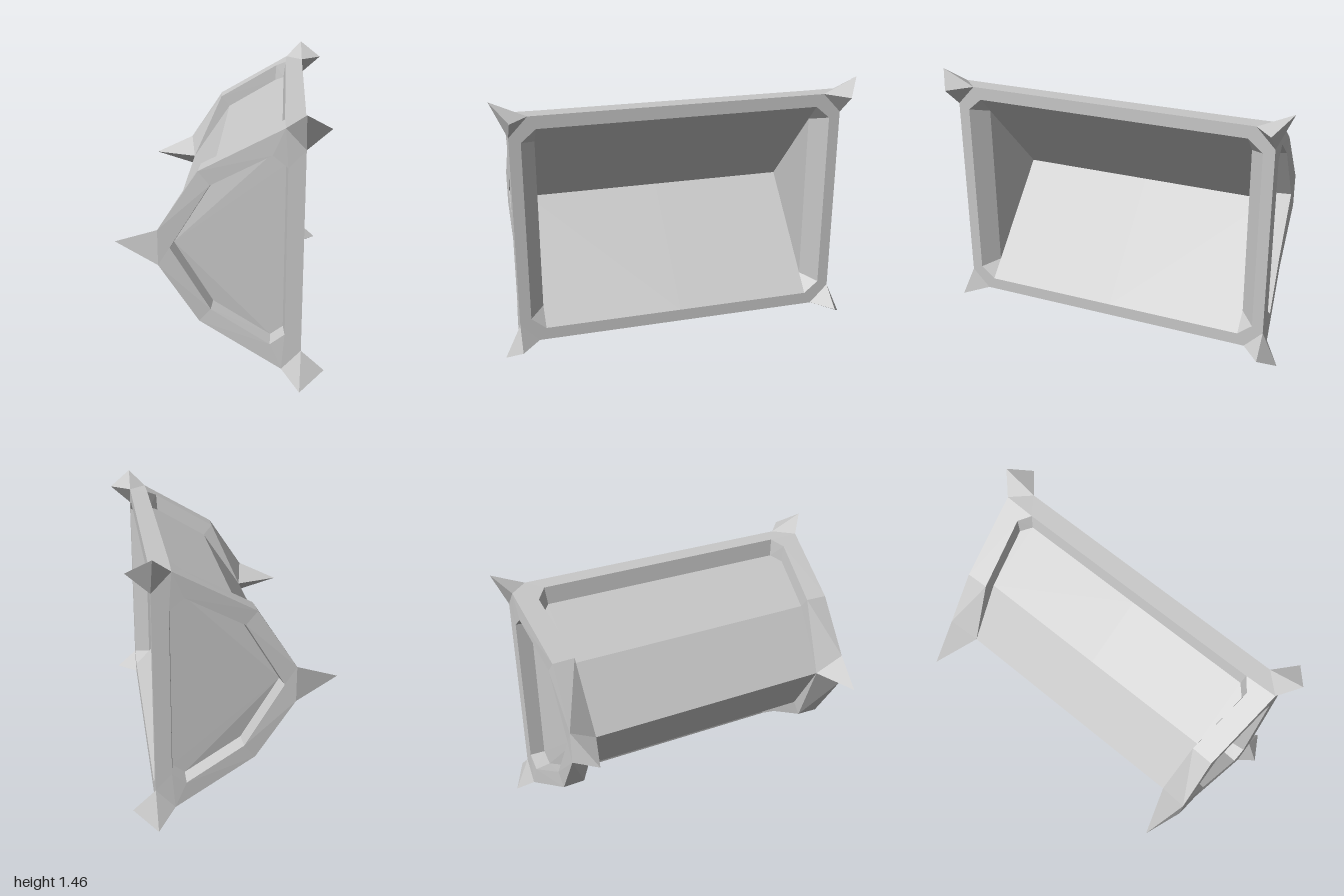
import * as THREE from 'three';

const MID = 0.7275; // height of the horizontal mirror plane

// Corner points of one quarter (upper half, front end): x, height above MID, z
const p = {
  // rear spike and rear edge
  S: [-0.54, 0, 0.8], P: [-0.31, 0.095, 0.87], Pm: [-0.31, 0, 0.87], Q: [-0.28, 0, 0.715],
  // outer frame bend, corner spike base and tips
  T: [-0.105, 0.405, 0.863], A: [0.32, 0.642, 0.915], B: [0.42, 0.535, 0.912],
  C: [0.42, 0.642, 0.81], D: [0.54, 0.642, 0.915], E: [0.415, 0.7275, 1],
  // end recess: upper edge F, floor f
  F0: [-0.25, 0, 0.866], F1: [-0.045, 0.335, 0.868], F2: [0.26, 0.505, 0.908], F3: [0.335, 0.445, 0.912],
  f0: [-0.238, 0, 0.782], f1: [-0.039, 0.324, 0.785], f2: [0.26, 0.492, 0.822], f3: [0.325, 0.44, 0.828],
  // shell recess: upper edge, floor
  T1: [-0.1, 0.405, 0.738], C1: [0.255, 0.605, 0.79], C2: [0.315, 0.639, 0.735],
  t1: [-0.048, 0.3425, 0.735], c1: [0.25, 0.511, 0.778], c2: [0.303, 0.541, 0.725],
  // opening and interior
  R1: [0.42, 0.505, 0.85], R2: [0.42, 0.5725, 0.77], I0: [-0.13, 0, 0.77], I1: [0.33, 0.479, 0.77],
};
// "_" drops a point to the mid height, "|" drops it to the mid length
function point(key) {
  const v = new THREE.Vector3(...p[key[0] === '_' || key[0] === '|' ? key.slice(1) : key]);
  if (key[0] === '_') v.y = 0;
  if (key[0] === '|') v.z = 0;
  return v;
}

// Faces of each part: corner names, then the rough direction the face looks
const parts = {
  rearSpikes: [['S P Pm', 0, 0, 1], ['S P Q', 0, 1, -0.3]],
  cornerSpikes: [
    ['A B E', 0, 0, 1], ['B E D', 0, 0, 1], ['C E D', 0, 1, 0], ['A E C', 0, 1, 0], ['B D C', 1, 0, 0],
  ],
  endFrames: [
    ['Pm P F0', 0, 0, 1], ['P T F1 F0', 0, 0, 1], ['T A F2 F1', 0, 0, 1],
    ['A B F3 F2', 0, 0, 1], ['B _B _F3 F3', 0, 0, 1],
  ],
  endRecessWalls: [
    ['F0 F1 f1 f0', 1, -1, 0], ['F1 F2 f2 f1', 0, -1, 0],
    ['F2 F3 f3 f2', -1, -1, 0], ['F3 _F3 _f3 f3', -1, 0, 0],
  ],
  endPanels: [['f0 f1 f2 f3 _f3', 0, 0, 1]],
  shellFrame: [
    ['P T T1 Q', -1, 1, 0], ['T A C1 T1', -1, 1, 0], ['A C2 C1', 0, 1, 0],
    ['A C C2', 0, 1, 0], ['C |C |C2 C2', 0, 1, 0],
  ],
  shellRecessWalls: [
    ['Q T1 t1', 0, 0, -1], ['T1 C1 c1 t1', 0, 0, -1], ['C1 C2 c2 c1', -1, 0, -1], ['C2 |C2 |c2 c2', -1, 0, 0],
  ],
  shellPanels: [['Q |Q |t1 t1', -1, 1, 0], ['t1 |t1 |c2 c2 c1', -1, 1, 0]],
  openingRim: [['B _B _R1 R1', 1, 0, 0], ['C |C |R2 R2', 1, 0, 0], ['B C R2 R1', 1, 0, 0]],
  interior: [
    ['I0 |I0 |R2 R2 I1', 0, -1, 0], ['I0 I1 _I1', 0, 0, -1],
    ['R1 _R1 _I1 I1', 0, 0, -1], ['R1 R2 I1', 0, -1, -1],
  ],
};

// Fans each face into triangles, turns it outward and mirrors it to all four quarters
function buildPart(faces) {
  const pos = [];
  for (const [names, dx, dy, dz] of faces) {
    const pts = names.split(' ').map(point);
    const dir = new THREE.Vector3(dx, dy, dz);
    for (let i = 1; i < pts.length - 1; i++) {
      let [a, b, c] = [pts[0], pts[i], pts[i + 1]];
      const n = b.clone().sub(a).cross(c.clone().sub(a));
      if (n.dot(dir) < 0) [b, c] = [c, b];
      for (const sy of [1, -1]) for (const sz of [1, -1]) {
        const tri = sy * sz > 0 ? [a, b, c] : [a, c, b];
        for (const v of tri) pos.push(v.x, MID + sy * v.y, sz * v.z);
      }
    }
  }
  const geo = new THREE.BufferGeometry();
  geo.setAttribute('position', new THREE.Float32BufferAttribute(pos, 3));
  geo.computeVertexNormals();
  return geo;
}

export function createModel() {
  const group = new THREE.Group();
  group.name = 'spikedContainer';
  const grey = new THREE.MeshStandardMaterial({ color: 0xc8c8c8 });
  grey.name = 'light grey';
  for (const [name, faces] of Object.entries(parts)) {
    const mesh = new THREE.Mesh(buildPart(faces), grey);
    mesh.name = name;
    group.add(mesh);
  }
  return group;
}
